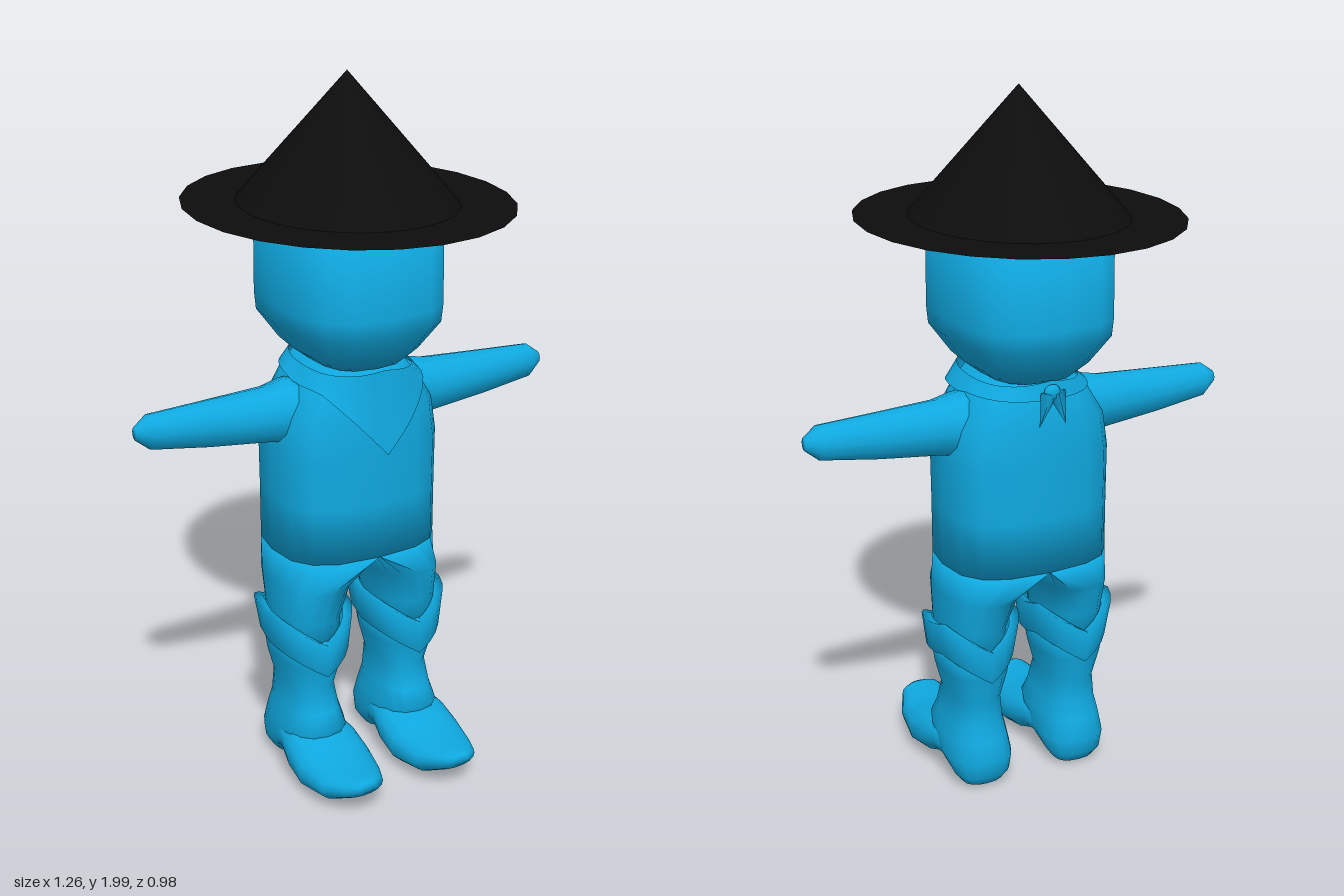
import * as THREE from 'three';

const blue = new THREE.MeshStandardMaterial({ color: 0x0fa9e0, side: THREE.DoubleSide });
const black = new THREE.MeshStandardMaterial({ color: 0x0d0d0d, side: THREE.DoubleSide });

// Skin a list of equal-length rings, with optional end caps
function loft(rings, caps = true) {
  const n = rings[0].length, pos = rings.flat(2), index = [];
  const last = rings.length - 1;
  for (let i = 0; i < last; i++) {
    for (let j = 0; j < n; j++) {
      const a = i * n + j, d = i * n + (j + 1) % n;
      index.push(a, a + n, d + n, a, d + n, d);
    }
  }
  if (caps) {
    for (const i of [0, last]) {
      const c = pos.length / 3;
      for (let k = 0; k < 3; k++) pos.push(rings[i].reduce((s, p) => s + p[k], 0) / n);
      for (let j = 0; j < n; j++) {
        const a = i * n + j, b = i * n + (j + 1) % n;
        if (i === 0) index.push(c, a, b); else index.push(c, b, a);
      }
    }
  }
  const g = new THREE.BufferGeometry();
  g.setAttribute('position', new THREE.Float32BufferAttribute(pos, 3));
  g.setIndex(index);
  g.computeVertexNormals();
  return g;
}

// Unit rounded outline: p = 2 is a circle, larger is squarer
function outline(n, p) {
  const f = v => Math.abs(v) < 1e-9 ? 0 : Math.sign(v) * Math.abs(v) ** (2 / p);
  return Array.from({ length: n }, (_, j) => {
    const a = j / n * Math.PI * 2;
    return [f(Math.cos(a)), f(Math.sin(a))];
  });
}

// Horizontal ring spanning z0..z1
const ring = (y, cx, rx, z0, z1, n = 16, p = 2.5) =>
  outline(n, p).map(([c, s]) => [cx + rx * c, y, (z0 + z1) / 2 + (z1 - z0) / 2 * s]);

function mirrored(g) {
  const m = g.clone().scale(-1, 1, 1), ix = m.index.array;
  for (let i = 0; i < ix.length; i += 3) [ix[i + 1], ix[i + 2]] = [ix[i + 2], ix[i + 1]];
  m.computeVertexNormals();
  return m;
}

export function createModel() {
  const model = new THREE.Group();
  const add = (name, g, mat = blue) => {
    const m = new THREE.Mesh(g, mat);
    m.name = name;
    model.add(m);
  };
  const addPair = (name, g) => {
    add('left' + name, g);
    add('right' + name, mirrored(g));
  };

  // Hat: oval cone on a flat, wider brim
  add('hatCrown', new THREE.ConeGeometry(1, 0.345, 32, 1, true)
    .scale(0.29, 1, 0.33).translate(0, 1.8275, 0), black);
  add('hatBrim', new THREE.CircleGeometry(1, 24)
    .rotateX(-Math.PI / 2).scale(0.435, 1, 0.49).translate(0, 1.655, 0), black);

  // Head
  add('head', loft([
    [1.235, 0.12, 0.17], [1.27, 0.165, 0.205], [1.35, 0.222, 0.262],
    [1.4, 0.226, 0.268], [1.65, 0.224, 0.267],
  ].map(([y, rx, rz]) => ring(y, 0, rx, -rz, rz, 16, 2.8))));

  // Torso
  add('torso', loft([
    [0.69, 0.238, 0.19], [0.85, 0.238, 0.192], [1.0, 0.24, 0.192],
    [1.1, 0.225, 0.188], [1.18, 0.175, 0.175], [1.24, 0.12, 0.15],
  ].map(([y, rx, rz]) => ring(y, 0, rx, -rz, rz, 16, 2.8))));

  // Trouser legs, split from the torso outline
  addPair('Leg', loft([
    ring(0.38, 0.15, 0.085, -0.1, 0.13),
    ring(0.5, 0.153, 0.088, -0.12, 0.15),
    ring(0.6, 0.14, 0.103, -0.155, 0.172),
    ring(0.69, 0, 0.238, -0.19, 0.19, 16, 2.8).map(([x, y, z]) => [Math.max(x, 0), y, z]),
  ]));

  // Arms: rings along x with height and depth radii
  addPair('Arm', loft([
    [0.12, 1.1, 0.09, 0.1], [0.19, 1.097, 0.09, 0.09], [0.25, 1.095, 0.079, 0.072],
    [0.43, 1.1, 0.065, 0.055], [0.59, 1.108, 0.049, 0.042], [0.63, 1.11, 0.018, 0.015],
  ].map(([x, y, ry, rz]) => outline(12, 2).map(([c, s]) => [x, y + ry * s, rz * c]))));

  // Boot shaft and heel
  addPair('BootShaft', loft([
    ring(0.02, 0.15, 0.06, -0.1, 0),
    ring(0.05, 0.15, 0.082, -0.12, 0.02),
    ring(0.1, 0.15, 0.098, -0.132, 0.13),
    ring(0.16, 0.15, 0.092, -0.118, 0.175),
    ring(0.21, 0.15, 0.08, -0.1, 0.145),
    ring(0.28, 0.15, 0.07, -0.1, 0.125),
    ring(0.36, 0.15, 0.09, -0.12, 0.145),
    ring(0.44, 0.15, 0.1, -0.13, 0.155),
  ]));

  // Boot foot: rings from upturned toe to heel, with sole and top heights
  addPair('BootFoot', loft([
    [0.392, 0.03, 0.092, 0.122], [0.37, 0.062, 0.07, 0.132], [0.3, 0.095, 0.03, 0.122],
    [0.2, 0.114, 0.01, 0.14], [0.12, 0.112, 0.025, 0.165], [0.06, 0.1, 0.05, 0.17],
    [0, 0.094, 0.052, 0.16], [-0.06, 0.085, 0.03, 0.14],
  ].map(([z, rx, y0, y1]) => outline(16, 2.3).map(([c, s]) =>
    [0.15 + rx * c, (y0 + y1) / 2 + (y1 - y0) / 2 * s, z]))));

  // Boot cuff: folded band, high at the sides with a V at front and back
  const cuffRing = (low, rise, rx, z0, z1) => ring(0, 0.149, rx, z0, z1, 24, 2.3)
    .map(([x, , z]) => [x, low + (z < 0 ? 0.015 : 0) + rise * Math.abs(x - 0.149) / rx, z]);
  addPair('BootCuff', loft([
    cuffRing(0.35, 0.07, 0.095, -0.12, 0.14),
    cuffRing(0.34, 0.075, 0.113, -0.13, 0.165),
    cuffRing(0.44, 0.075, 0.128, -0.145, 0.168),
    cuffRing(0.435, 0.07, 0.1, -0.12, 0.145),
  ], false));

  // Neckerchief: thin band with a pointed flap in front
  const scarfTop = ring(1.245, 0, 0.145, -0.185, 0.212, 32, 2.4)
    .map(([x, y, z]) => [x, y - 0.02 * Math.abs(x) / 0.145, z]);
  const scarfHem = ring(1.185, 0, 0.18, -0.195, 0.232, 32, 2.4)
    .map(([x, y, z]) => [x, z > 0 ? y - 0.175 * Math.max(0, 1 - Math.abs(x) / 0.16) : y + 0.01, z]);
  add('neckerchief', loft([scarfHem, scarfTop], false));

  // Knot and two pointed tails behind the neck
  add('scarfKnot', new THREE.SphereGeometry(0.025, 10, 6)
    .scale(1, 0.9, 0.6).translate(0, 1.215, -0.195));
  addPair('ScarfTail', new THREE.ConeGeometry(0.026, 0.095, 4)
    .rotateX(Math.PI).scale(1, 1, 0.45).rotateZ(0.3).translate(0.026, 1.168, -0.2));

  return model;
}
